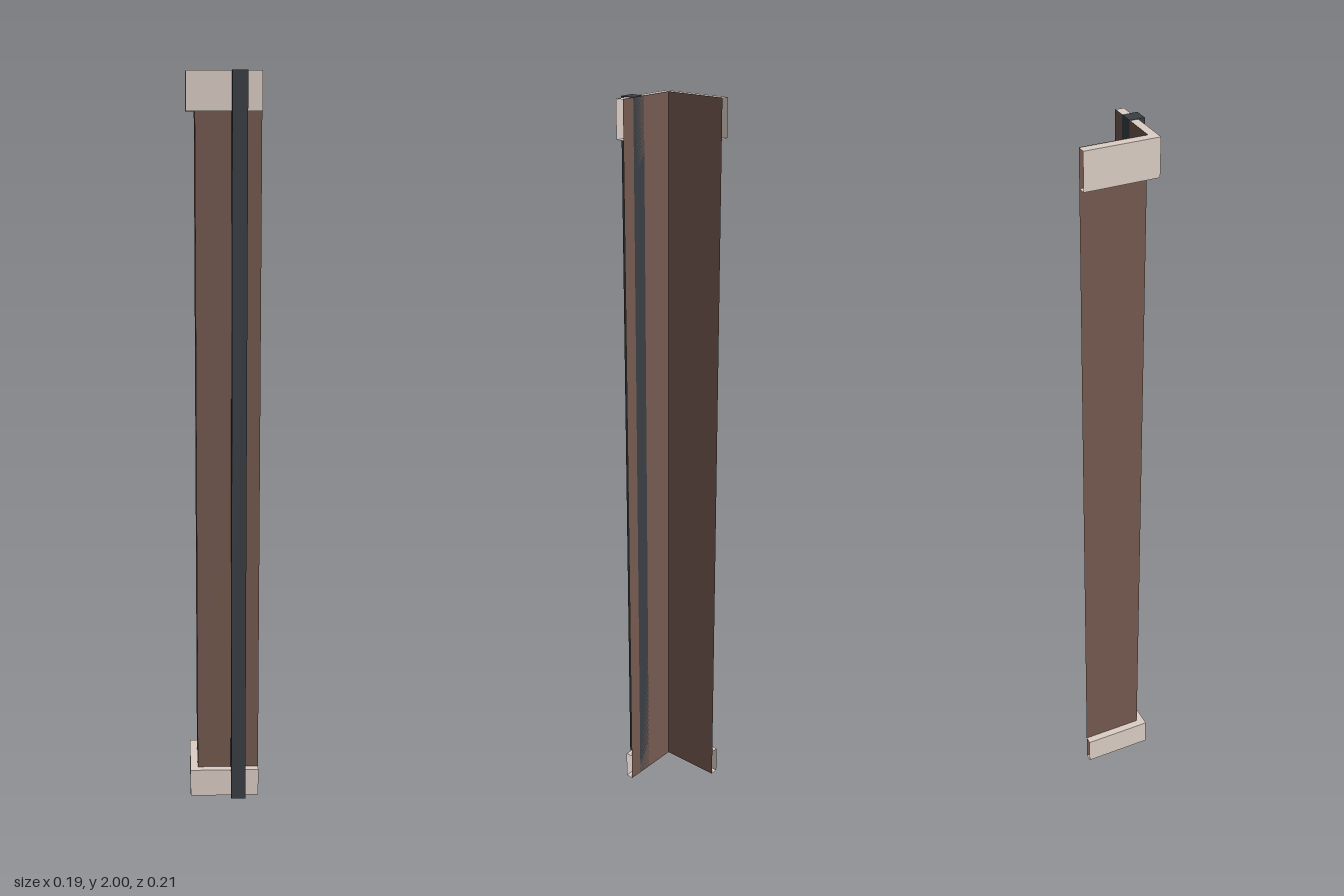
import * as THREE from 'three';

const paint = (color) => new THREE.MeshStandardMaterial({ color, side: THREE.DoubleSide });
const wallMat = paint(0x755a50);
const trimMat = paint(0xdccfc6);
const barMat = paint(0x3a3f44);

// Plan of the corner: one wall along x, one along z
const RIGHT = 0.097, BACK = -0.107, WALL_X = -0.075, WALL_Z = 0.065;

function add(parent, name, geometry, material) {
  const mesh = new THREE.Mesh(geometry, material);
  mesh.name = name;
  parent.add(mesh);
  return mesh;
}

// Two thin upright sheets meeting at the corner, pushed outwards by offset
function addSheets(parent, name, material, offset, y0, y1) {
  const x = WALL_X - offset, z = WALL_Z + offset, h = y1 - y0, y = (y0 + y1) / 2;
  const front = new THREE.PlaneGeometry(RIGHT - x, h);
  front.translate((RIGHT + x) / 2, y, z);
  add(parent, name + 'Front', front, material);
  const side = new THREE.PlaneGeometry(z - BACK, h);
  side.rotateY(-Math.PI / 2);
  side.translate(x, y, (z + BACK) / 2);
  add(parent, name + 'Side', side, material);
}

// Hollow trim with open ends: outer faces plus L-shaped top and bottom
function makeTrim(name, thickness, y0, y1) {
  const group = new THREE.Group();
  group.name = name;
  addSheets(group, name, trimMat, thickness, y0, y1);
  const x = WALL_X - thickness, z = WALL_Z + thickness;
  const plan = new THREE.Shape([
    [x, BACK], [WALL_X, BACK], [WALL_X, WALL_Z], [RIGHT, WALL_Z], [RIGHT, z], [x, z],
  ].map(([px, pz]) => new THREE.Vector2(px, -pz)));
  for (const [label, y, turn] of [['Top', y1, -1], ['Bottom', y0, 1]]) {
    const cap = new THREE.ShapeGeometry(plan);
    cap.rotateX(-Math.PI / 2);
    if (turn > 0) {
      // Flip the lower cap so that it faces down
      cap.index.array.reverse();
      cap.computeVertexNormals();
    }
    cap.translate(0, y, 0);
    add(group, name + label, cap, trimMat);
  }
  return group;
}

export function createModel() {
  const model = new THREE.Group();
  model.name = 'wallCorner';

  // Wall sheets
  addSheets(model, 'wall', wallMat, 0, 0, 2);

  // Cornice and skirting
  model.add(makeTrim('cornice', 0.023, 1.9, 1.999));
  model.add(makeTrim('skirting', 0.021, 0.001, 0.08));

  // Square upright on the front wall
  add(model, 'upright', new THREE.BoxGeometry(0.04, 2, 0.04), barMat).position.set(0.039, 1, WALL_Z + 0.02);

  return model;
}
